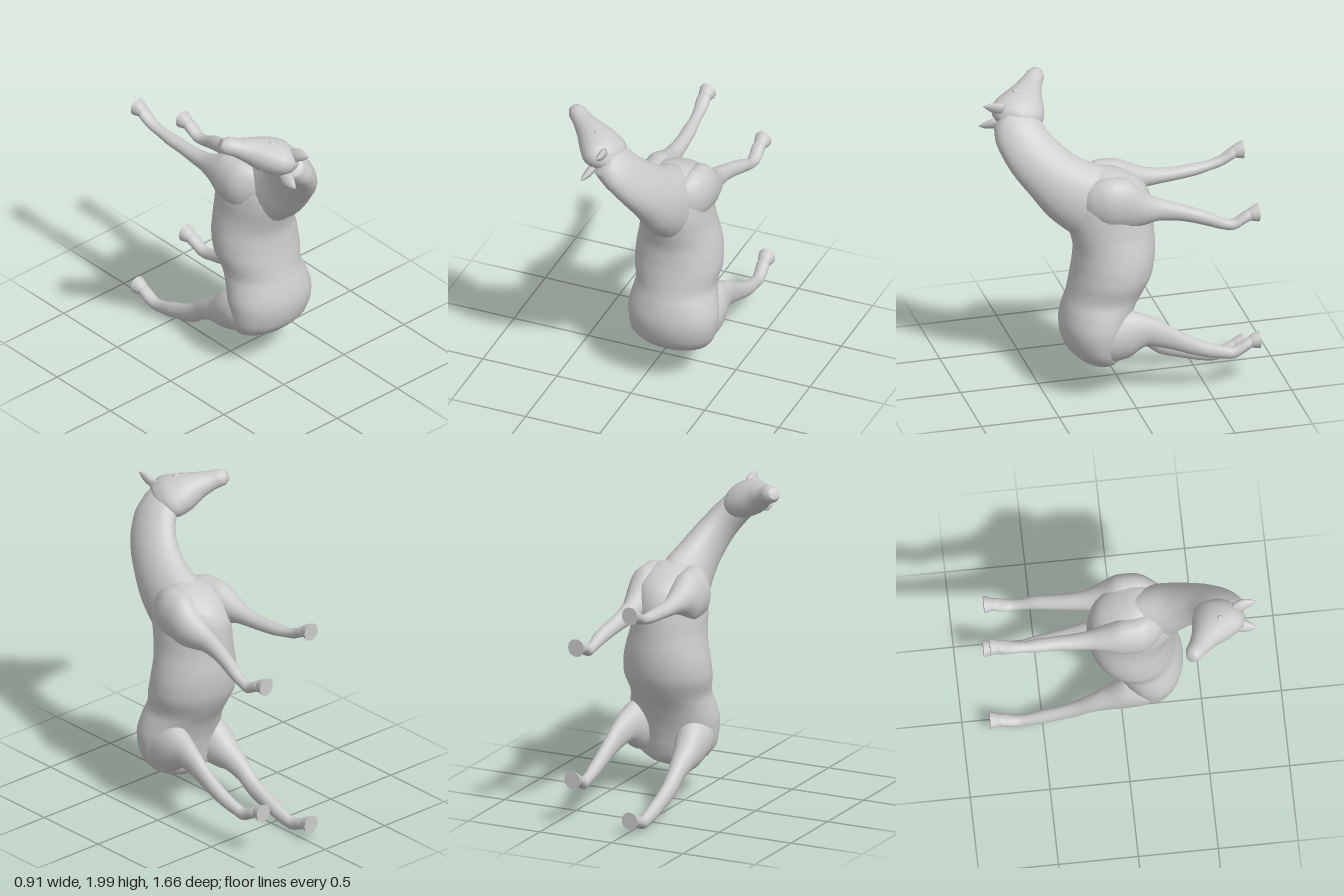
import * as THREE from 'three';
import { toCreasedNormals } from 'three/addons/utils/BufferGeometryUtils.js';

const V = (x, y, z) => new THREE.Vector3(x, y, z);
const X = V(1, 0, 0), Y = V(0, 1, 0), Z = V(0, 0, 1);
const material = new THREE.MeshStandardMaterial({ color: 0xcccccc });

// Closed skin through elliptical sections [x, y, z, radiusA, radiusB].
// The ring axes a and b blend from their start to their end direction.
function loft(sections, a0, b0, a1 = a0, b1 = b0, { sides = 20, steps = 3 } = {}) {
  const centres = new THREE.CatmullRomCurve3(sections.map(s => V(s[0], s[1], s[2])));
  const radii = new THREE.CatmullRomCurve3(sections.map(s => V(s[3], s[4], 0)));
  const rings = (sections.length - 1) * steps;
  const pos = [], index = [];
  for (let i = 0; i <= rings; i++) {
    const t = i / rings, c = centres.getPoint(t), r = radii.getPoint(t);
    const a = a0.clone().lerp(a1, t).normalize(), b = b0.clone().lerp(b1, t).normalize();
    for (let j = 0; j < sides; j++) {
      const w = (j / sides) * Math.PI * 2;
      const p = c.clone().addScaledVector(a, r.x * Math.cos(w)).addScaledVector(b, r.y * Math.sin(w));
      pos.push(p.x, p.y, p.z);
    }
  }
  const first = centres.getPoint(0), last = centres.getPoint(1);
  pos.push(...first.toArray(), ...last.toArray());
  const flip = a0.clone().cross(b0).dot(last.clone().sub(first)) < 0;
  const tri = (p, q, r) => flip ? index.push(p, r, q) : index.push(p, q, r);
  const start = (rings + 1) * sides, end = start + 1;
  for (let j = 0; j < sides; j++) {
    const k = (j + 1) % sides;
    for (let i = 0; i < rings; i++) {
      const p = i * sides + j, q = i * sides + k;
      tri(p, q, q + sides);
      tri(p, q + sides, p + sides);
    }
    tri(start, k, j);
    tri(end, rings * sides + j, rings * sides + k);
  }
  const g = new THREE.BufferGeometry();
  g.setAttribute('position', new THREE.Float32BufferAttribute(pos, 3));
  g.setIndex(index);
  g.computeVertexNormals();
  return g;
}

export function createModel() {
  const model = new THREE.Group();
  model.name = 'horse';
  const add = (name, geometry, parent = model) => {
    const m = new THREE.Mesh(geometry, material);
    m.name = name;
    parent.add(m);
    return m;
  };

  // Torso: rump, waist, belly and chest as [y, zBack, zBelly, halfWidth, xCentre]
  const torso = [
    [0.195, 0.14, 0.09, 0.03, 0.15], [0.215, 0.23, 0.05, 0.14, 0.15], [0.26, 0.3, 0.02, 0.225, 0.15],
    [0.33, 0.365, 0.005, 0.272, 0.152], [0.42, 0.395, -0.01, 0.29, 0.157], [0.5, 0.4, -0.03, 0.295, 0.157],
    [0.6, 0.38, -0.07, 0.275, 0.155], [0.68, 0.355, -0.12, 0.257, 0.15], [0.8, 0.33, -0.18, 0.282, 0.148],
    [0.9, 0.315, -0.2, 0.277, 0.147], [1.0, 0.31, -0.205, 0.257, 0.145], [1.1, 0.335, -0.2, 0.235, 0.14],
    [1.2, 0.36, -0.195, 0.225, 0.135], [1.3, 0.36, -0.185, 0.212, 0.135], [1.4, 0.31, -0.135, 0.185, 0.14],
    [1.47, 0.24, -0.035, 0.145, 0.14], [1.51, 0.18, 0.065, 0.06, 0.14],
  ].map(([y, back, belly, w, x]) => [x, y, (back + belly) / 2, w, (back - belly) / 2]);
  add('torso', loft(torso, X, Z, X, Z, { sides: 28 }));

  // Neck, bending up and over to the right
  add('neck', loft([
    [0.14, 1.15, 0.09, 0.17, 0.2], [0.135, 1.34, 0.25, 0.158, 0.24],
    [0.105, 1.49, 0.43, 0.124, 0.19], [0.038, 1.635, 0.56, 0.104, 0.17],
    [-0.055, 1.755, 0.625, 0.1, 0.16], [-0.135, 1.83, 0.66, 0.085, 0.115],
  ], X, V(0, -0.6, 0.8), V(0.78, 0.62, 0), V(0.3, -0.37, 0.82), { sides: 24, steps: 4 }));

  // Head, from the poll to the muzzle; side and brow are its own axes
  const side = V(0.5, 0.866, 0), brow = V(-0.47, 0.27, 0.84).normalize();
  const backward = V(0.75, -0.38, 0.55).normalize();
  const head = new THREE.Group();
  head.name = 'head';
  model.add(head);
  add('skull', loft([
    [-0.06, 1.795, 0.68, 0.04, 0.06], [-0.09, 1.808, 0.645, 0.088, 0.135],
    [-0.137, 1.83, 0.595, 0.112, 0.166], [-0.206, 1.862, 0.54, 0.108, 0.137],
    [-0.284, 1.9, 0.49, 0.082, 0.09], [-0.352, 1.927, 0.445, 0.06, 0.066],
    [-0.4, 1.945, 0.41, 0.056, 0.056], [-0.432, 1.958, 0.39, 0.034, 0.035],
  ], side, brow, side, brow, { steps: 4 }), head);

  for (const [label, s] of [['left', 1], ['right', -1]]) {
    // Eye, set almost flush in the side of the skull
    const eye = add(label + 'Eye', new THREE.SphereGeometry(0.022, 16, 12), head);
    eye.position.set(-0.2, 1.862, 0.545).addScaledVector(side, s * 0.082).addScaledVector(brow, 0.06);
    // Leaf-shaped ear, broad in the middle and pointed at the tip
    const base = V(-0.135, 1.825, 0.69).addScaledVector(side, s * 0.07);
    const tip = V(-0.145, 1.833, 0.83).addScaledVector(side, s * 0.108);
    const ear = [[0, 0.035, 0.03], [0.35, 0.045, 0.03], [0.7, 0.03, 0.02], [1, 0.003, 0.003]]
      .map(([t, w, d]) => [...base.clone().lerp(tip, t).toArray(), w, d]);
    add(label + 'Ear', loft(ear, side, backward, side, backward, { sides: 10 }), head);
  }

  // Legs as [x, y, z, halfWidth, halfHeight], from the shoulder or thigh muscle
  // inside the body to the pastern, each ending in a hoof
  const legs = {
    leftFrontLeg: [
      [0.23, 1.33, 0.27, 0.06, 0.1], [0.264, 1.33, 0.13, 0.112, 0.17], [0.274, 1.32, 0, 0.108, 0.168],
      [0.275, 1.28, -0.1, 0.087, 0.115], [0.272, 1.255, -0.2, 0.062, 0.074],
      [0.284, 1.228, -0.32, 0.05, 0.057], [0.302, 1.2, -0.42, 0.046, 0.05], [0.322, 1.168, -0.52, 0.043, 0.047],
      [0.333, 1.13, -0.61, 0.034, 0.037], [0.336, 1.122, -0.67, 0.039, 0.034], [0.335, 1.16, -0.74, 0.043, 0.038],
      [0.335, 1.175, -0.78, 0.038, 0.038]],
    rightFrontLeg: [
      [0.05, 1.33, 0.27, 0.06, 0.1], [0.0, 1.33, 0.13, 0.12, 0.17], [-0.015, 1.33, 0, 0.11, 0.163],
      [-0.022, 1.345, -0.1, 0.084, 0.1], [-0.025, 1.34, -0.2, 0.06, 0.062],
      [-0.025, 1.337, -0.32, 0.05, 0.046], [-0.025, 1.342, -0.42, 0.045, 0.041], [-0.03, 1.35, -0.52, 0.044, 0.038],
      [-0.035, 1.362, -0.61, 0.035, 0.032], [-0.038, 1.385, -0.69, 0.039, 0.034], [-0.04, 1.42, -0.75, 0.044, 0.039],
      [-0.04, 1.435, -0.78, 0.038, 0.038]],
    leftHindLeg: [
      [0.29, 0.42, 0.24, 0.11, 0.12], [0.315, 0.43, 0.13, 0.128, 0.16], [0.337, 0.45, 0.02, 0.108, 0.16],
      [0.352, 0.468, -0.09, 0.075, 0.106], [0.365, 0.43, -0.2, 0.054, 0.088], [0.372, 0.38, -0.3, 0.046, 0.07],
      [0.376, 0.33, -0.4, 0.042, 0.058], [0.376, 0.29, -0.5, 0.04, 0.049], [0.372, 0.26, -0.6, 0.034, 0.04],
      [0.37, 0.25, -0.66, 0.037, 0.038], [0.365, 0.29, -0.74, 0.042, 0.039], [0.36, 0.308, -0.78, 0.037, 0.038]],
    rightHindLeg: [
      [0.01, 0.41, 0.24, 0.11, 0.12], [-0.01, 0.39, 0.13, 0.125, 0.15], [-0.027, 0.36, 0.02, 0.103, 0.15],
      [-0.038, 0.305, -0.09, 0.075, 0.095], [-0.042, 0.248, -0.19, 0.056, 0.076], [-0.043, 0.168, -0.29, 0.047, 0.07],
      [-0.043, 0.12, -0.4, 0.042, 0.058], [-0.042, 0.085, -0.5, 0.042, 0.052], [-0.04, 0.055, -0.6, 0.035, 0.043],
      [-0.04, 0.048, -0.66, 0.037, 0.038], [-0.04, 0.08, -0.74, 0.042, 0.039], [-0.04, 0.097, -0.78, 0.037, 0.038]],
  };
  for (const [name, path] of Object.entries(legs)) {
    const leg = new THREE.Group();
    leg.name = name;
    model.add(leg);
    add(name + 'Limb', loft(path, X, Y, X, Y, { sides: 20 }), leg);
    const [x, y] = path[path.length - 1];
    const hoof = loft([[x, y, -0.765, 0.036, 0.034], [x, y + 0.004, -0.79, 0.046, 0.046],
      [x, y + 0.008, -0.828, 0.055, 0.058]], X, Y, X, Y, { sides: 16, steps: 2 });
    add(name + 'Hoof', toCreasedNormals(hoof, 0.8), leg);
  }
  return model;
}
